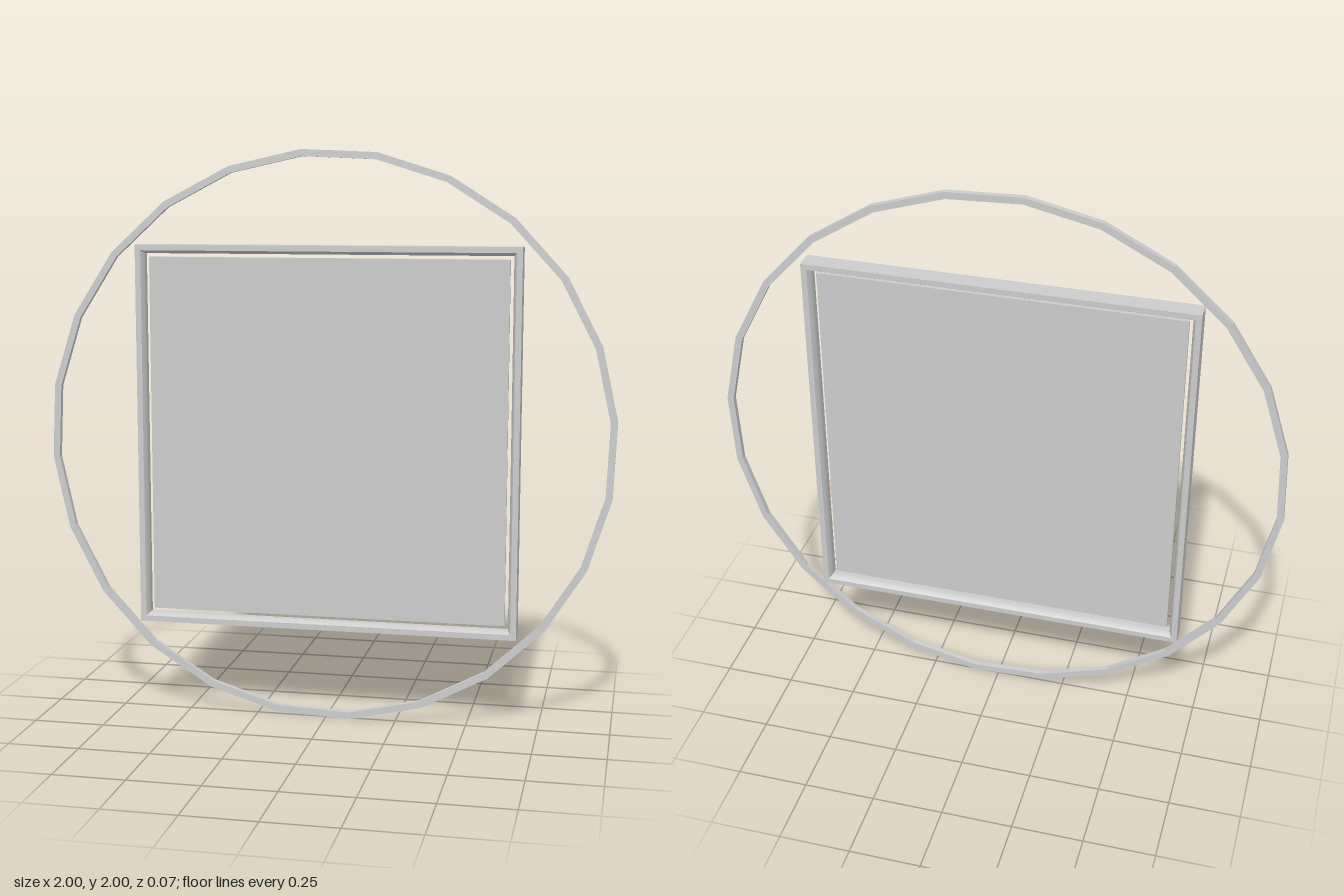
import * as THREE from 'three';
import { toCreasedNormals } from 'three/addons/utils/BufferGeometryUtils.js';

// Sweep a closed [radius, depth] profile around the z axis
function sweep(profile, sides, turn) {
  const pts = profile.map(([r, d]) => new THREE.Vector2(r, d));
  return new THREE.LatheGeometry([...pts, pts[0].clone()], sides)
    .rotateX(Math.PI / 2)
    .rotateZ(turn);
}

export function createModel() {
  const group = new THREE.Group();
  const add = (name, geometry, flatShading = false) => {
    const mesh = new THREE.Mesh(geometry, new THREE.MeshStandardMaterial({ color: 0xcccccc, flatShading }));
    mesh.name = name;
    mesh.position.y = 1;
    group.add(mesh);
    return mesh;
  };

  // Thin 24-sided hoop, leaning slightly out of the frame's plane
  const R = 1.003, w = 0.024, h = 0.01;
  const hoop = add('hoop', sweep([[R, -h], [R, h], [R - w, h], [R - w, -h]], 24, THREE.MathUtils.degToRad(5)), true);
  hoop.rotation.set(-0.006, 0.006, 0);
  hoop.position.z = -0.002;

  // Mitred square frame with a gently bulging inner face
  const depth = 0.034, outer = 0.674, rim = 0.654, bulge = 0.011;
  const profile = [[outer, -depth], [outer, depth]];
  for (let i = 0; i <= 10; i++) {
    const t = 1 - i / 5;
    profile.push([rim - bulge * (1 - t * t), depth * t]);
  }
  const square = profile.map(([r, d]) => [r * Math.SQRT2, d]);
  add('frame', toCreasedNormals(sweep(square, 4, Math.PI / 4), 0.6));

  // Thin panel floating inside the frame
  add('panel', new THREE.BoxGeometry(1.262, 1.262, 0.012));

  return group;
}
